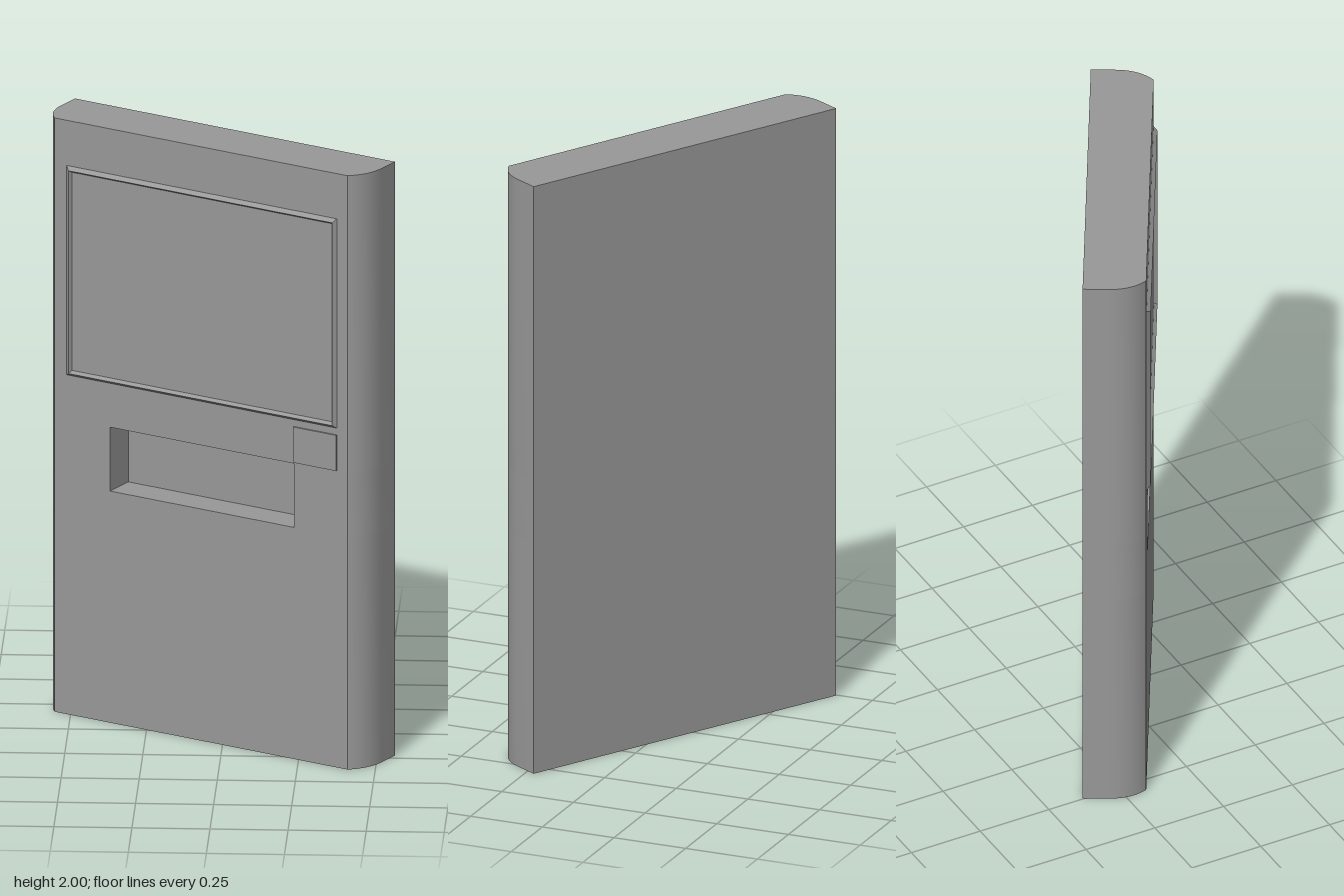
import * as THREE from 'three';
import { toCreasedNormals } from 'three/addons/utils/BufferGeometryUtils.js';

const BACK = -0.0815, FRONT = 0.121;
const SLOT = { left: -0.357, right: 0.34, bottom: 0.78, top: 0.995, back: 0.01 };

export function createModel() {
  const model = new THREE.Group();
  model.name = 'kiosk';
  const material = new THREE.MeshStandardMaterial({ color: 0x999999 });

  const add = (name, geometry) => {
    const mesh = new THREE.Mesh(geometry, material);
    mesh.name = name;
    model.add(mesh);
    return mesh;
  };

  // Plan outline: flat back and front, straight sides rounding in toward the front
  const plan = (withSlot) => {
    const s = new THREE.Shape();
    s.moveTo(-0.617, BACK);
    s.lineTo(0.594, BACK);
    s.lineTo(0.594, 0);
    s.quadraticCurveTo(0.594, 0.075, 0.541, FRONT);
    if (withSlot) {
      s.lineTo(SLOT.right, FRONT);
      s.lineTo(SLOT.right, SLOT.back);
      s.lineTo(SLOT.left, SLOT.back);
      s.lineTo(SLOT.left, FRONT);
    }
    s.lineTo(-0.566, FRONT);
    s.quadraticCurveTo(-0.617, 0.075, -0.617, 0);
    s.lineTo(-0.617, BACK);
    return s;
  };

  // Body stacked from slabs; the middle one is notched for the slot
  const slab = (name, y0, y1, withSlot) => {
    const g = new THREE.ExtrudeGeometry(plan(withSlot), { depth: y1 - y0, bevelEnabled: false, curveSegments: 10 });
    g.rotateX(Math.PI / 2).translate(0, y1, 0);
    add(name, toCreasedNormals(g, 0.5));
  };
  slab('lowerBody', 0, SLOT.bottom, false);
  slab('slotBody', SLOT.bottom, SLOT.top, true);
  slab('upperBody', SLOT.top, 2, false);

  // Surface stepping through nested rectangles [left, right, bottom, top, depth]
  const steppedRects = (rects, capped) => {
    const loops = rects.map(([l, r, b, t, z]) => [[l, b, z], [r, b, z], [r, t, z], [l, t, z]]);
    const pos = [];
    const quad = (a, b, c, d) => pos.push(...a, ...b, ...c, ...a, ...c, ...d);
    for (let k = 0; k < loops.length - 1; k++) {
      for (let i = 0; i < 4; i++) {
        const j = (i + 1) % 4;
        quad(loops[k][i], loops[k][j], loops[k + 1][j], loops[k + 1][i]);
      }
    }
    if (capped) quad(...loops[loops.length - 1]);
    const g = new THREE.BufferGeometry();
    g.setAttribute('position', new THREE.Float32BufferAttribute(pos, 3));
    g.computeVertexNormals();
    return g;
  };

  // Bevelled screen frame with the screen set back inside it
  const crest = [-0.505, 0.492, 1.153, 1.836, 0.134];
  const inner = [-0.5, 0.487, 1.162, 1.829, 0.123];
  add('screenFrame', steppedRects([[-0.521, 0.501, 1.143, 1.848, FRONT], crest, inner], false));
  add('screen', steppedRects([inner], true));

  // Thin reader plate beside the slot
  const plate = add('readerPlate', new THREE.BoxGeometry(0.161, 0.12, 0.012));
  plate.position.set(0.4205, 1.06, FRONT);

  // The whole unit stands turned to its right
  model.rotation.y = THREE.MathUtils.degToRad(-29.6);
  const root = new THREE.Group();
  root.name = 'turnedKiosk';
  root.add(model);
  return root;
}
